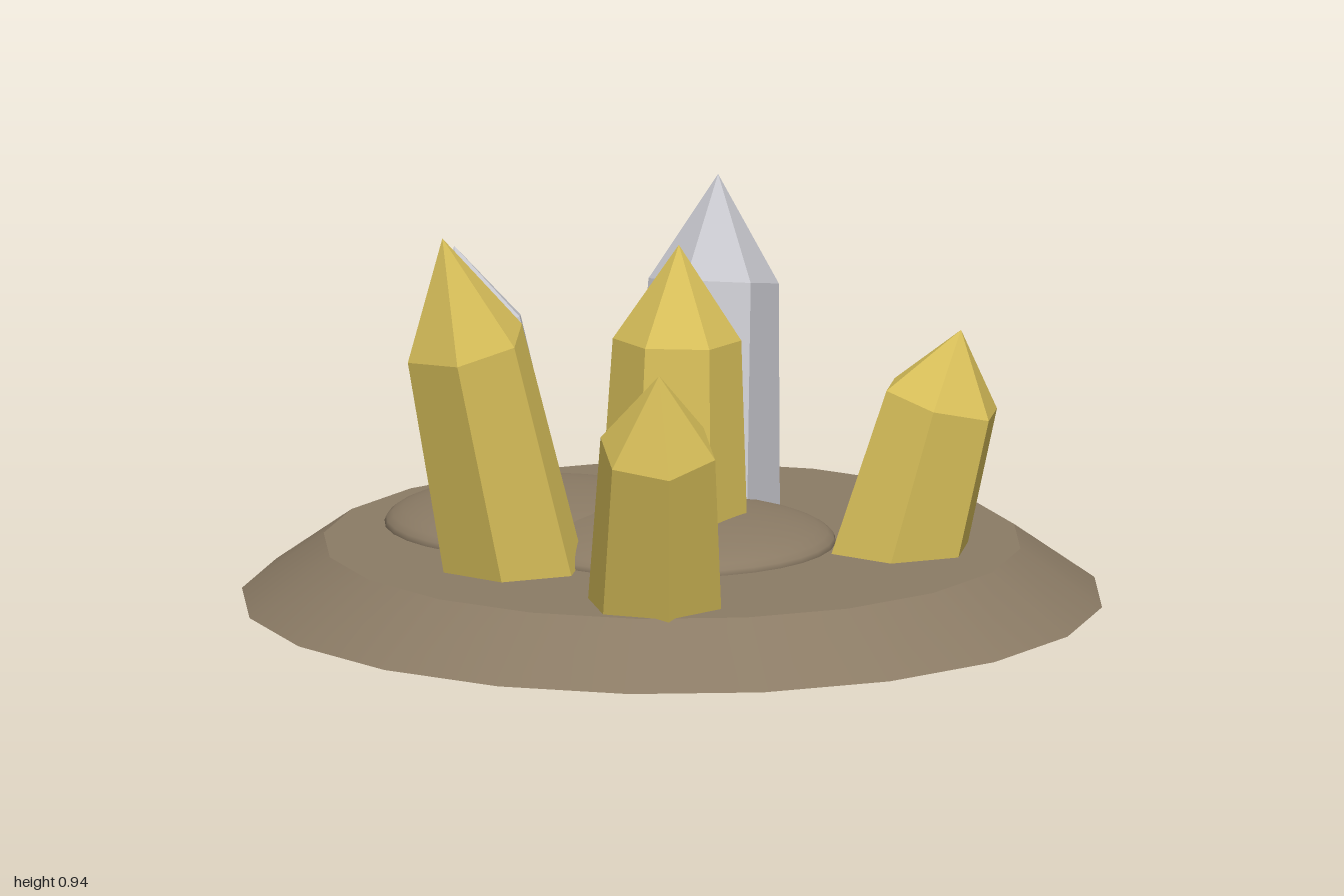
import * as THREE from 'three';

const rock = new THREE.MeshStandardMaterial({ name: 'brown rock', color: 0x8b7b65 });
const gold = new THREE.MeshStandardMaterial({ name: 'golden crystal', color: 0xd9c05a });
const silver = new THREE.MeshStandardMaterial({ name: 'silver crystal', color: 0xc6c6cc });

const GROUND = 0.135;

function addMesh(parent, name, geometry, material) {
  const mesh = new THREE.Mesh(geometry, material);
  mesh.name = name;
  parent.add(mesh);
  return mesh;
}

// Six-sided crystal: tapered shaft and pointed tip, leaning from its foot to its tip
function addCrystal(parent, { name, foot, tip, radius, twist, material }) {
  const start = new THREE.Vector3(foot[0], GROUND, foot[1]);
  const axis = new THREE.Vector3(...tip).sub(start);
  const length = axis.length();
  const buried = -0.05;
  const profile = [
    new THREE.Vector2(0, buried),
    new THREE.Vector2(radius, buried),
    new THREE.Vector2(radius * 0.85, length * 0.68),
    new THREE.Vector2(0, length),
  ];
  const geometry = new THREE.LatheGeometry(profile, 6).toNonIndexed();
  geometry.rotateY(THREE.MathUtils.degToRad(twist));
  geometry.computeVertexNormals(); // flat facets
  const crystal = addMesh(parent, name, geometry, material);
  crystal.position.copy(start);
  crystal.quaternion.setFromUnitVectors(new THREE.Vector3(0, 1, 0), axis.normalize());
}

// Low rounded mound on top of the base
function addMound(parent, name, x, z, radius, height) {
  const geometry = new THREE.SphereGeometry(1, 32, 10, 0, Math.PI * 2, 0, Math.PI / 2);
  geometry.scale(radius, height, radius);
  addMesh(parent, name, geometry, rock).position.set(x, GROUND, z);
}

export function createModel() {
  const model = new THREE.Group();
  model.name = 'crystalCluster';

  // Rock base
  const base = addMesh(model, 'rockBase', new THREE.CylinderGeometry(0.81, 1, GROUND, 20), rock);
  base.position.y = GROUND / 2;
  addMound(model, 'centreMound', 0, 0, 0.38, 0.073);
  addMound(model, 'backMound', -0.15, -0.31, 0.38, 0.078);

  // Crystals
  const crystals = [
    { name: 'centreCrystal', foot: [0.003, 0], tip: [0.03, 0.83, -0.02], radius: 0.175, twist: 0, material: gold },
    { name: 'rightTallCrystal', foot: [-0.45, 0.04], tip: [-0.65, 0.94, 0.06], radius: 0.172, twist: 22, material: gold },
    { name: 'frontCrystal', foot: [-0.36, 0.54], tip: [-0.46, 0.725, 0.73], radius: 0.165, twist: 41, material: gold },
    { name: 'leftCrystal', foot: [0.42, 0.33], tip: [0.535, 0.655, 0.41], radius: 0.168, twist: 22, material: gold },
    { name: 'backTallCrystal', foot: [0.235, -0.255], tip: [0.345, 0.89, -0.38], radius: 0.178, twist: 4, material: silver },
    { name: 'backSmallCrystal', foot: [-0.1, -0.61], tip: [-0.14, 0.7, -0.76], radius: 0.162, twist: 30, material: silver },
  ];
  crystals.forEach((crystal) => addCrystal(model, crystal));

  return model;
}
